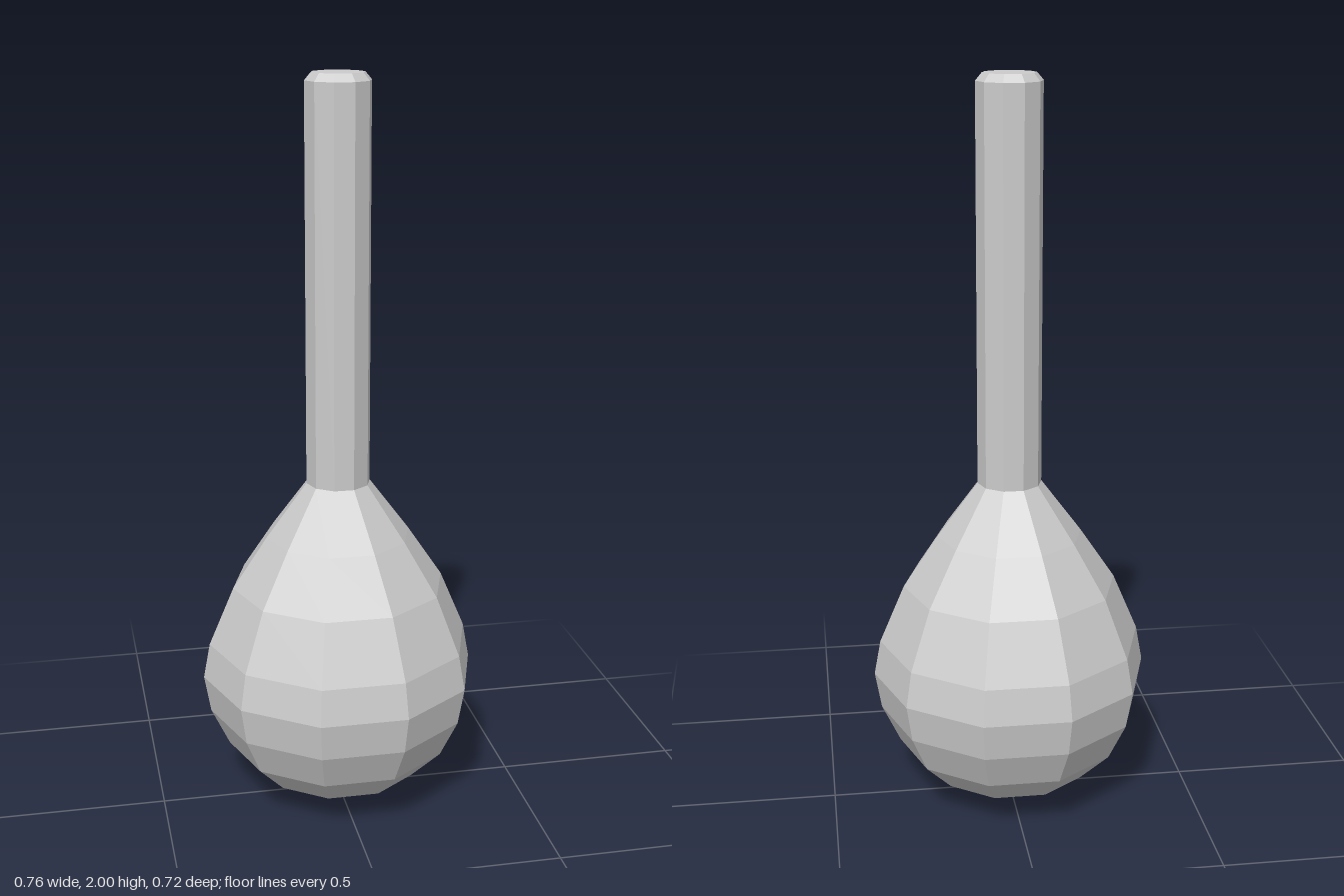
import * as THREE from 'three';

const SIDES = 10;

// Faceted solid of revolution from [radius, height] pairs, with a corner on +x
function turned(name, profile, material) {
  const points = profile.map(([r, y]) => new THREE.Vector2(r, y));
  const mesh = new THREE.Mesh(new THREE.LatheGeometry(points, SIDES, Math.PI / 2), material);
  mesh.name = name;
  return mesh;
}

export function createModel() {
  const group = new THREE.Group();
  const material = new THREE.MeshStandardMaterial({ color: 0xcccccc, flatShading: true });

  // Rounded bulb tapering up to the neck
  group.add(turned('bulb', [
    [0, 0], [0.12, 0.025], [0.225, 0.08], [0.31, 0.165], [0.36, 0.27], [0.378, 0.373],
    [0.36, 0.47], [0.292, 0.63], [0.197, 0.772], [0.087, 0.92],
  ], material));

  // Straight neck with a bevelled, closed top
  group.add(turned('neck', [
    [0.087, 0.92], [0.087, 1.98], [0.07, 2], [0, 2],
  ], material));

  return group;
}
